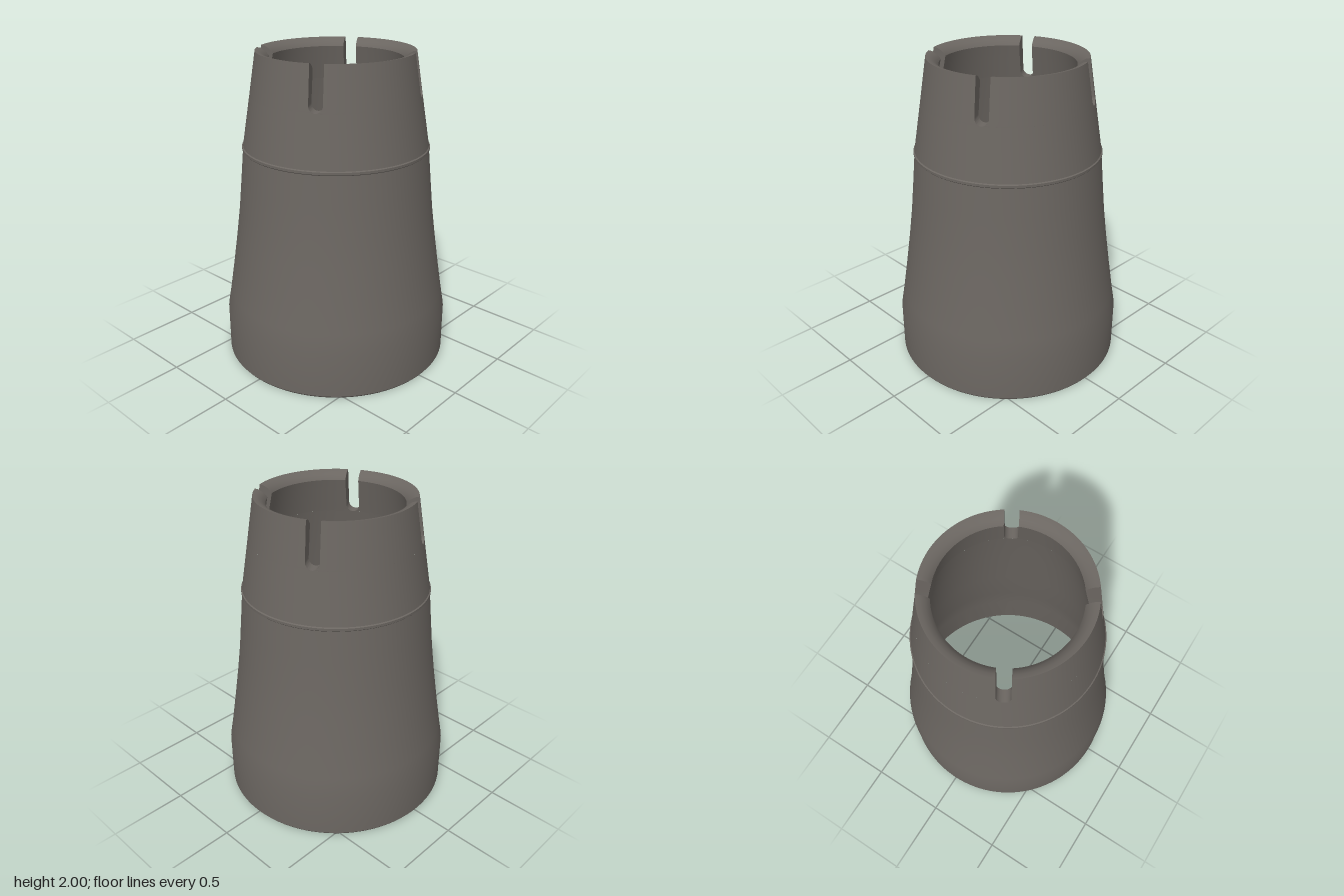
import * as THREE from 'three';
import { toCreasedNormals } from 'three/addons/utils/BufferGeometryUtils.js';

const SLOT_BASE = 1.73, SLOT_HALF = 0.042;

// Radii of the upper cone, which continues straight through the slotted collar
const outerR = (y) => 0.583 + (0.49 - 0.583) * (y - 1.42) / 0.58;
const innerR = (y) => 0.46 + (0.415 - 0.46) * (y - SLOT_BASE) / 0.22;

// Half width of a round-bottomed slot at height y
function slotHalf(y) {
  const d = Math.max(0, SLOT_BASE + SLOT_HALF - y);
  return Math.sqrt(Math.max(0, SLOT_HALF * SLOT_HALF - d * d));
}

// Surface through rows of points
function grid(rows) {
  const cols = rows[0].length, index = [];
  for (let j = 0; j < rows.length - 1; j++) {
    for (let i = 0; i < cols - 1; i++) {
      const a = j * cols + i, b = a + 1, c = a + cols, d = c + 1;
      index.push(a, b, d, a, d, c);
    }
  }
  const g = new THREE.BufferGeometry();
  g.setAttribute('position', new THREE.Float32BufferAttribute(rows.flat(2), 3));
  g.setIndex(index);
  return toCreasedNormals(g, 0.5);
}

export function createModel() {
  const group = new THREE.Group();
  const darkGrey = new THREE.MeshStandardMaterial({ color: 0x6b6661 });
  darkGrey.name = 'darkGrey';
  const add = (geometry, name, parent = group) => {
    const mesh = new THREE.Mesh(geometry, darkGrey);
    mesh.name = name;
    parent.add(mesh);
  };

  // Hollow tapered body: inner wall downwards, bottom rim, outer wall upwards
  const profile = [
    [innerR(SLOT_BASE), SLOT_BASE], [0.52, 1.4], [0.575, 1.0], [0.64, 0.6], [0.705, 0.3], [0.718, 0.01], [0.72, 0],
    [0.722, 0], [0.731, 0.012], [0.731, 0.3], [0.708, 0.43], [0.678, 0.62], [0.65, 0.81], [0.625, 1.0],
    [0.605, 1.2], [0.587, 1.39], [0.592, 1.395], [0.592, 1.41], [0.585, 1.415], [outerR(SLOT_BASE), SLOT_BASE],
  ].map(([r, y]) => new THREE.Vector2(r, y));
  add(toCreasedNormals(new THREE.LatheGeometry(profile, 128), 0.4), 'taperedBody');

  // Collar heights, closely spaced round the slot bottoms
  const heights = [];
  for (let i = 0; i <= 10; i++) heights.push(SLOT_BASE + SLOT_HALF * (1 - Math.cos(i * Math.PI / 20)));
  heights.push(1.86, 1.95);
  const outer = [...heights.map((y) => [outerR(y), y]), [0.49, 2]];
  const inner = heights.map((y) => [innerR(y), y]);
  const lip = [[0.49, 2], [0.465, 1.995], [0.44, 1.98], [0.422, 1.962], [innerR(1.95), 1.95]];

  // Four collar segments between slots, each with skin, lip and slot walls
  for (let k = 0; k < 4; k++) {
    const start = Math.PI / 6 + k * Math.PI / 2;
    const ends = ([r, y]) => {
      const a = Math.asin(slotHalf(y) / r);
      return [start + a, start + Math.PI / 2 - a];
    };
    const point = (r, y, t) => [r * Math.sin(t), y, r * Math.cos(t)];
    const arc = (p) => {
      const [a, b] = ends(p);
      return Array.from({ length: 33 }, (_, i) => point(p[0], p[1], a + (b - a) * i / 32));
    };
    const segment = new THREE.Group();
    segment.name = 'collarSegment' + (k + 1);
    group.add(segment);
    add(grid(outer.map(arc)), 'collarOuterWall', segment);
    add(grid(lip.map(arc)), 'bevelledLip', segment);
    add(grid([...inner].reverse().map(arc)), 'collarInnerWall', segment);

    // Slot walls join the inner and outer edges at each height, up to the bevel
    const pairs = heights.map((y) => [[innerR(y), y], [outerR(y), y]]);
    pairs.push([[0.422, 1.962], [outerR(1.962), 1.962]], [[0.44, 1.98], [outerR(1.98), 1.98]],
      [[0.465, 1.995], [outerR(1.995), 1.995]], [[0.49, 2], [0.49, 2]]);
    for (const side of [0, 1]) {
      const rows = pairs.map((pair) => {
        const row = pair.map((p) => point(p[0], p[1], ends(p)[side]));
        return side ? row.reverse() : row;
      });
      add(grid(rows), 'slotWall', segment);
    }
  }
  return group;
}
